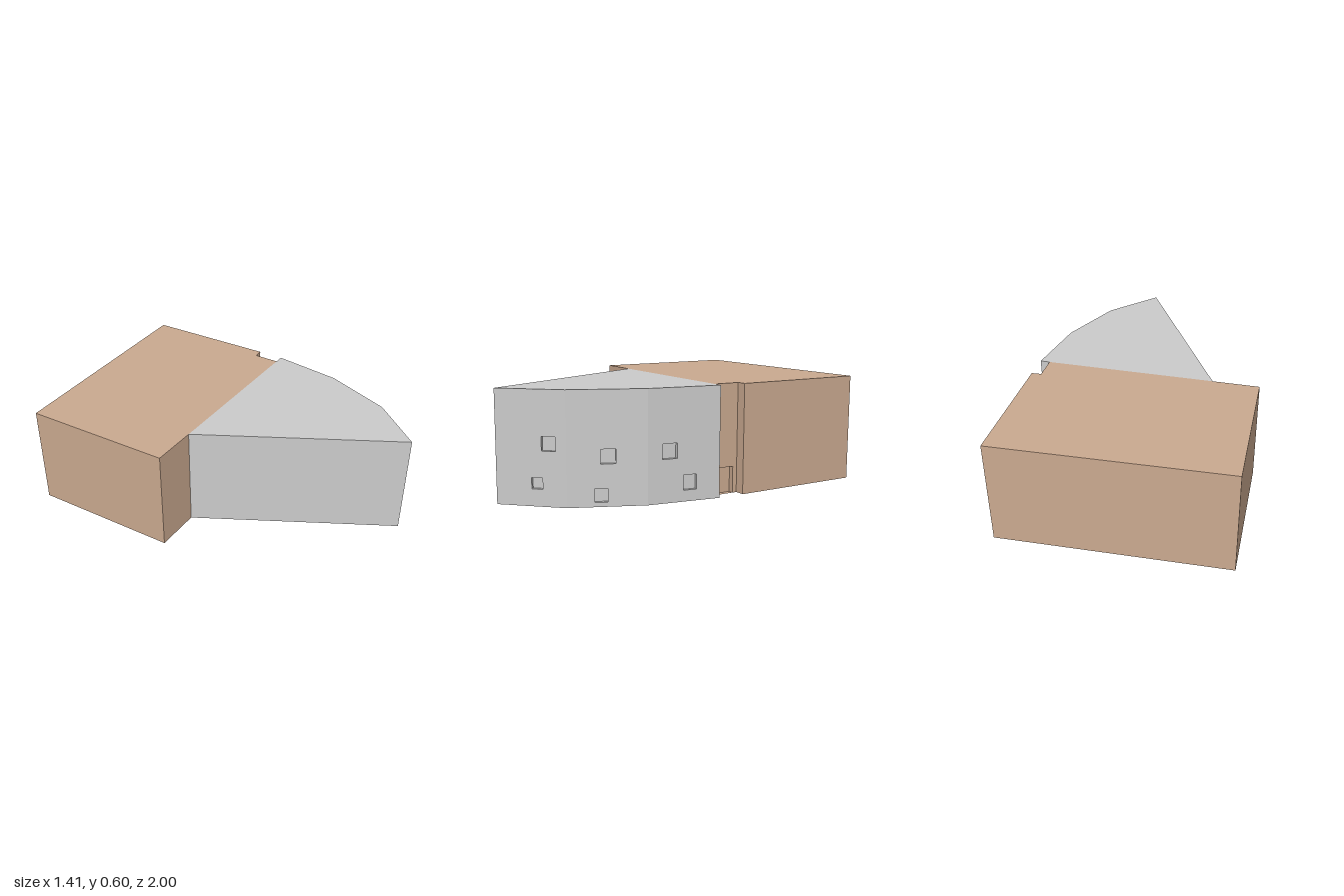
import * as THREE from 'three';
import { mergeGeometries } from 'three/addons/utils/BufferGeometryUtils.js';

const H = 0.595;
const V = (x, z) => new THREE.Vector2(x, z);

// Five-sided recess, open toward +z
function recess(u0, u1, y0, y1, depth) {
  const g = new THREE.BoxGeometry(u1 - u0, y1 - y0, depth);
  const idx = Array.from(g.index.array);
  idx.splice(24, 6);
  g.setIndex(idx);
  return g.translate((u0 + u1) / 2, (y0 + y1) / 2, -depth / 2);
}

// Thin wall from a to b; openings are [zStart, zEnd, yBottom, yTop]
function wallGeometry(a, b, openings = [], depth = 0.02) {
  const len = a.distanceTo(b);
  const dir = b.clone().sub(a).divideScalar(len);
  const outline = [V(0, 0)];
  const holes = [];
  const parts = [];
  for (const [z0, z1, y0, y1] of openings) {
    const [u0, u1] = [(z0 - a.y) / dir.y, (z1 - a.y) / dir.y];
    if (y0 === 0) outline.push(V(u0, 0), V(u0, y1), V(u1, y1), V(u1, 0));
    else holes.push(new THREE.Path([V(u0, y0), V(u0, y1), V(u1, y1), V(u1, y0)]));
    parts.push(recess(u0, u1, y0, y1, depth));
  }
  outline.push(V(len, 0), V(len, H), V(0, H));
  const shape = new THREE.Shape(outline);
  shape.holes = holes;
  parts.push(new THREE.ShapeGeometry(shape));
  const m = new THREE.Matrix4().makeBasis(
    new THREE.Vector3(dir.x, 0, dir.y),
    new THREE.Vector3(0, 1, 0),
    new THREE.Vector3(-dir.y, 0, dir.x)
  ).setPosition(a.x, 0, a.y);
  return mergeGeometries(parts).applyMatrix4(m);
}

// Flat roof over a plan outline
function roofGeometry(points) {
  const shape = new THREE.Shape(points.map((p) => V(p.x, -p.y)));
  return new THREE.ShapeGeometry(shape).rotateX(-Math.PI / 2).translate(0, H, 0);
}

// A wing open underneath: walls along the plan, plus a roof
function buildWing(name, plan, material, openings, depth) {
  const wing = new THREE.Group();
  wing.name = name;
  const add = (geometry, part) => {
    const mesh = new THREE.Mesh(geometry, material);
    mesh.name = part;
    wing.add(mesh);
  };
  for (let i = 0; i < plan.length - 1; i++) {
    add(wallGeometry(plan[i], plan[i + 1], openings[i], depth), `${name}Wall${i + 1}`);
  }
  add(roofGeometry(plan), `${name}Roof`);
  return wing;
}

export function createModel() {
  const model = new THREE.Group();
  model.name = 'building';
  const grey = new THREE.MeshStandardMaterial({ color: 0xcccccc, side: THREE.DoubleSide, flatShading: true });
  const brown = new THREE.MeshStandardMaterial({ color: 0xcbaa90, side: THREE.DoubleSide, flatShading: true });

  // Ends of the open seam shared by both wings
  const west = V(-0.32, 0.015);
  const east = V(0.65, -0.096);

  // Faceted front wing with two windows on each curved-side panel
  const frontPlan = [west, V(0.385, 1), V(0.595, 0.695), V(0.7, 0.3), V(0.705, -0.102), east];
  model.add(buildWing('frontWing', frontPlan, grey, {
    1: [[0.8, 0.74, 0.285, 0.36], [0.845, 0.797, 0.09, 0.147]],
    2: [[0.53, 0.455, 0.22, 0.295], [0.56, 0.495, 0.024, 0.095]],
    3: [[0.22, 0.14, 0.23, 0.31], [0.105, 0.03, 0.06, 0.14]],
  }, 0.02));

  // Rectangular main block with a notched corner and a doorway
  const mainPlan = [east, V(0.63, -0.243), V(0.685, -0.252), V(0.575, -1), V(-0.71, -0.8), V(-0.585, 0.045), west];
  model.add(buildWing('mainBlock', mainPlan, brown, {
    0: [[-0.112, -0.218, 0, 0.145]],
  }, 0.03));

  return model;
}
